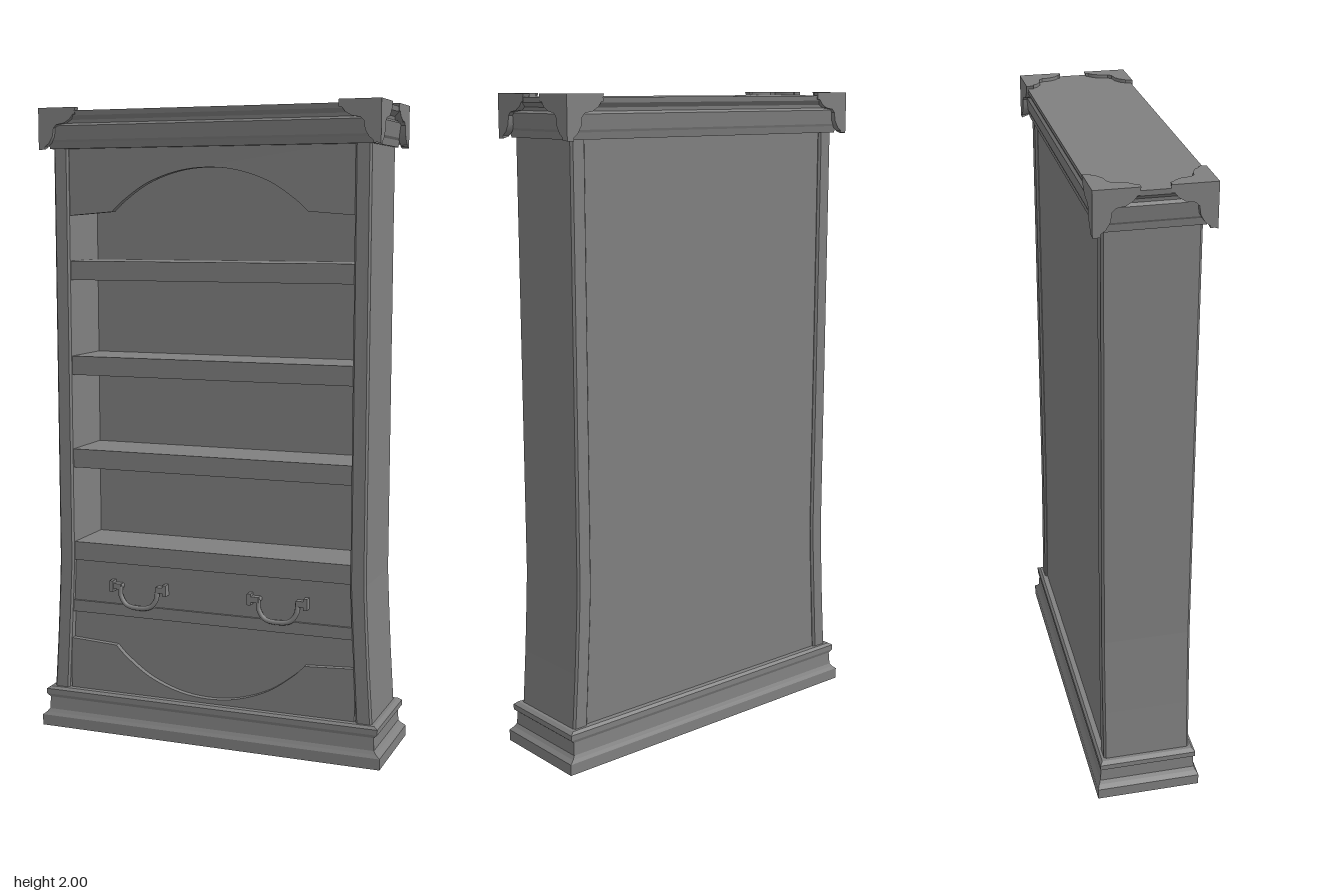
import * as THREE from 'three';
import { toCreasedNormals } from 'three/addons/utils/BufferGeometryUtils.js';

const wood = new THREE.MeshStandardMaterial({ color: 0x808080 });
wood.name = 'grey';

function add(parent, name, geometry, x = 0, y = 0, z = 0) {
  const mesh = new THREE.Mesh(geometry, wood);
  mesh.name = name;
  mesh.position.set(x, y, z);
  parent.add(mesh);
  return mesh;
}

// box given by its half width and its y and z limits
function slab(parent, name, hx, y0, y1, z0, z1) {
  return add(parent, name, new THREE.BoxGeometry(hx * 2, y1 - y0, z1 - z0), 0, (y0 + y1) / 2, (z0 + z1) / 2);
}

// rectangular moulding lofted through rings of [y, half width, half depth]
function moulding(rings) {
  const pos = [];
  const corner = ([y, hx, hz], k) => [[hx, hx, -hx, -hx][k % 4], y, [hz, -hz, -hz, hz][k % 4]];
  const quad = (a, b, c, d) => pos.push(...a, ...b, ...c, ...a, ...c, ...d);
  for (let i = 0; i < rings.length - 1; i++) {
    for (let k = 0; k < 4; k++) {
      quad(corner(rings[i], k), corner(rings[i], k + 1), corner(rings[i + 1], k + 1), corner(rings[i + 1], k));
    }
  }
  const lo = rings[0], hi = rings[rings.length - 1];
  quad(corner(hi, 0), corner(hi, 1), corner(hi, 2), corner(hi, 3));
  quad(corner(lo, 3), corner(lo, 2), corner(lo, 1), corner(lo, 0));
  const g = new THREE.BufferGeometry();
  g.setAttribute('position', new THREE.Float32BufferAttribute(pos, 3));
  g.computeVertexNormals();
  return g;
}

// board with an arched edge: straight shoulders, then a shallow bow
function archBoard(hx, yFlat, yShoulder, yCurve, yBack) {
  const s = new THREE.Shape();
  const mid = yShoulder + (yCurve - yShoulder) * 0.6;
  s.moveTo(-hx, yBack);
  s.lineTo(-hx, yFlat);
  s.lineTo(-0.32, yShoulder);
  s.splineThru([[-0.28, yShoulder + (yCurve - yShoulder) * 0.27], [-0.2, mid + (yCurve - mid) * 0.15],
    [-0.1, mid + (yCurve - mid) * 0.8], [0, yCurve], [0.1, mid + (yCurve - mid) * 0.8],
    [0.2, mid + (yCurve - mid) * 0.15], [0.28, yShoulder + (yCurve - yShoulder) * 0.27], [0.32, yShoulder]]
    .map(p => new THREE.Vector2(...p)));
  s.lineTo(hx, yFlat);
  s.lineTo(hx, yBack);
  const g = new THREE.ExtrudeGeometry(s, { depth: 0.025, bevelEnabled: false, curveSegments: 5 });
  return toCreasedNormals(g, 0.6);
}

// flared side wall with softened front and back edges
function sideWall(s) {
  const profile = [[0.465, 1.885], [0.515, 1.885], [0.515, 0.56], [0.52, 0.45], [0.528, 0.3], [0.54, 0.12],
    [0.488, 0.12], [0.478, 0.3], [0.47, 0.45], [0.465, 0.56]];
  const shape = new THREE.Shape(profile.map(([x, y]) => new THREE.Vector2(x * s, y)));
  return new THREE.ExtrudeGeometry(shape, {
    depth: 0.26, bevelThickness: 0.007, bevelSize: 0.006, bevelOffset: -0.006, bevelSegments: 1,
  });
}

// corner guard: three scalloped plates meeting at a corner
function cornerGuard(sx, sz) {
  const group = new THREE.Group();
  group.name = 'cornerGuard';
  const outline = [[0, 0], [0.128, 0], [0.122, 0.018], [0.108, 0.036], [0.088, 0.048], [0.062, 0.052], [0.052, 0.062],
    [0.048, 0.088], [0.036, 0.108], [0.018, 0.122], [0, 0.125]];
  const shape = new THREE.Shape(outline.map(p => new THREE.Vector2(...p)));
  const X = new THREE.Vector3(-sx, 0, 0), Y = new THREE.Vector3(0, -1, 0), Z = new THREE.Vector3(0, 0, -sz);
  for (const [name, a, b, n] of [['guardTop', X, Z, Y], ['guardFace', X, Y, Z], ['guardSide', Y, Z, X]]) {
    const rightHanded = a.clone().cross(b).dot(n) > 0;
    const g = new THREE.ExtrudeGeometry(shape, { depth: 0.022, bevelEnabled: false });
    g.applyMatrix4(new THREE.Matrix4().makeBasis(rightHanded ? a : b, rightHanded ? b : a, n));
    add(group, name, toCreasedNormals(g, 0.6), sx * 0.55, 2, sz * 0.167);
  }
  return group;
}

// swan-neck drawer pull
function drawerPull() {
  const group = new THREE.Group();
  group.name = 'drawerPull';
  const path = new THREE.CatmullRomCurve3([[-0.08, 0, 0], [-0.066, 0, 0], [-0.062, -0.03, 0.002], [-0.042, -0.058, 0.004],
    [0, -0.066, 0.004], [0.042, -0.058, 0.004], [0.062, -0.03, 0.002], [0.066, 0, 0], [0.08, 0, 0]]
    .map(p => new THREE.Vector3(...p)));
  add(group, 'pullBar', new THREE.TubeGeometry(path, 40, 0.008, 8));
  for (const s of [-1, 1]) {
    add(group, 'pullCap', new THREE.BoxGeometry(0.012, 0.036, 0.026), s * 0.092, 0, -0.001);
    add(group, 'pullPin', new THREE.BoxGeometry(0.034, 0.018, 0.022), s * 0.078, 0, -0.002);
    const post = add(group, 'pullPost', new THREE.CylinderGeometry(0.008, 0.01, 0.03, 10), s * 0.066, 0, -0.012);
    post.rotation.x = Math.PI / 2;
  }
  return group;
}

export function createModel() {
  const model = new THREE.Group();
  model.name = 'bookcase';

  // plinth and cornice
  add(model, 'plinth', moulding([[0, 0.573, 0.163], [0.035, 0.573, 0.163], [0.045, 0.56, 0.157], [0.055, 0.552, 0.152],
    [0.095, 0.55, 0.149], [0.105, 0.562, 0.153], [0.122, 0.562, 0.153], [0.13, 0.55, 0.145]]));
  add(model, 'cornice', moulding([[1.875, 0.522, 0.144], [1.895, 0.525, 0.148], [1.902, 0.53, 0.151],
    [1.945, 0.537, 0.156], [1.952, 0.528, 0.149], [1.962, 0.53, 0.15], [1.975, 0.547, 0.161], [1.99, 0.549, 0.163]]));
  for (const sx of [-1, 1]) for (const sz of [-1, 1]) model.add(cornerGuard(sx, sz));

  // carcass
  for (const s of [-1, 1]) add(model, 'sideWall', sideWall(s), 0, 0, -0.13);
  slab(model, 'backPanel', 0.49, 0.12, 1.885, -0.128, -0.07);

  // shelves and lower rail
  for (const y of [1.467, 1.165, 0.865, 0.56]) slab(model, 'shelf', 0.472, y, y + 0.06, -0.08, 0.126);
  slab(model, 'lowerRail', 0.482, 0.387, 0.425, -0.08, 0.126);

  // drawer and recessed kick panel
  slab(model, 'drawerFront', 0.476, 0.42, 0.565, 0.08, 0.118);
  slab(model, 'kickPanel', 0.49, 0.12, 0.395, 0.07, 0.108);
  for (const s of [-1, 1]) {
    const pull = drawerPull();
    pull.position.set(s * 0.235, 0.488, 0.134);
    model.add(pull);
  }

  // arched header and apron
  add(model, 'archedHeader', archBoard(0.472, 1.668, 1.68, 1.813, 1.885), 0, 0, 0.102);
  add(model, 'archedApron', archBoard(0.482, 0.297, 0.288, 0.145, 0.12), 0, 0, 0.102);

  return model;
}
